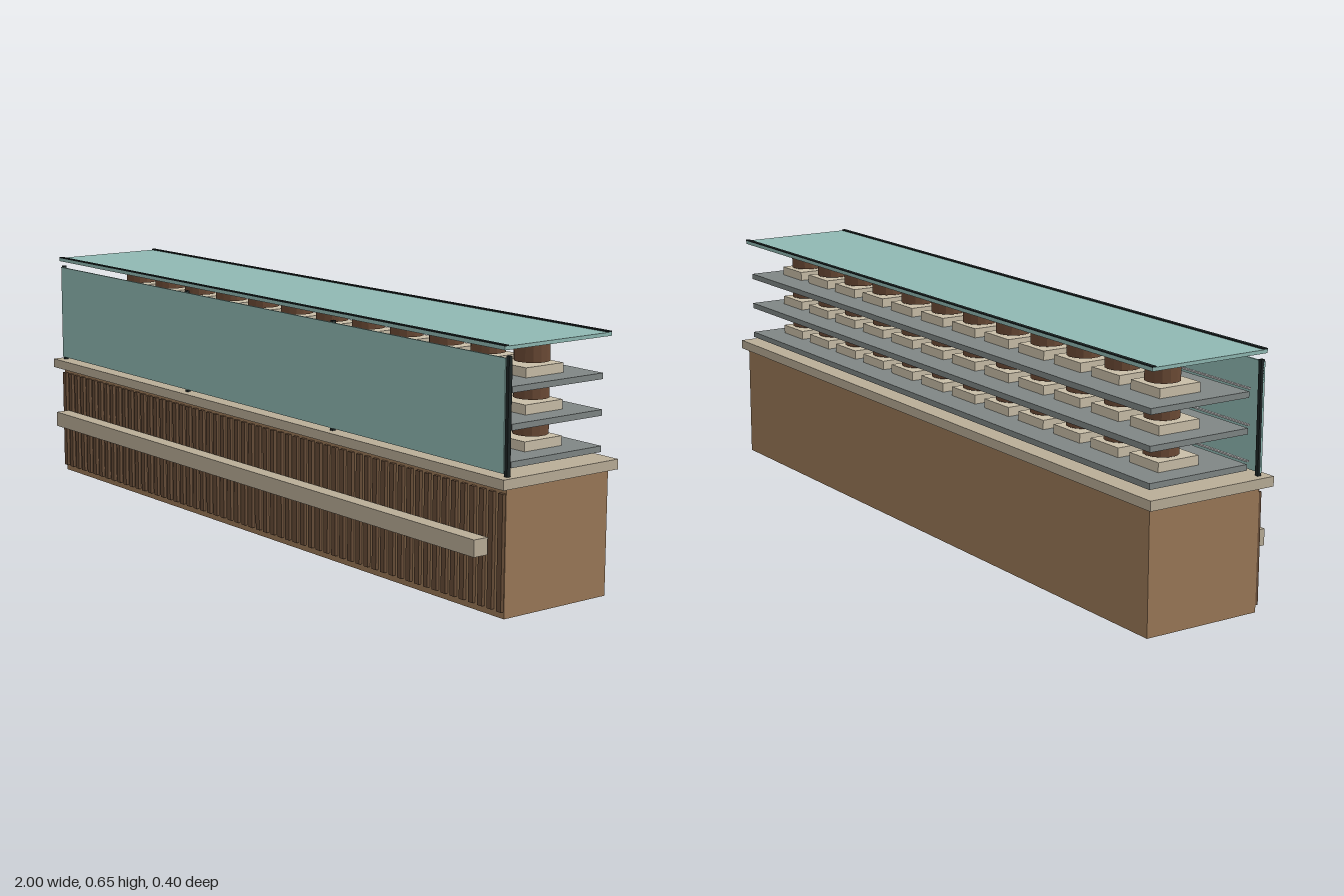
import * as THREE from 'three';

const mat = (color, flatShading = false) => new THREE.MeshStandardMaterial({ color, flatShading });
const wood = mat(0x9a7857), slatWood = mat(0x664c37), stone = mat(0xb9ad97), glass = mat(0x8fb8b2);
const black = mat(0x1c2424), metal = mat(0x7f8685), tan = mat(0xc9bea8), brown = mat(0x6b4a35, true);
const cream = mat(0xd8c890), pale = mat(0xcccccc);

// Box given by its extents on each axis
function box(parent, name, material, [x0, x1], [y0, y1], [z0, z1]) {
  const mesh = new THREE.Mesh(new THREE.BoxGeometry(x1 - x0, y1 - y0, z1 - z0), material);
  mesh.position.set((x0 + x1) / 2, (y0 + y1) / 2, (z0 + z1) / 2);
  mesh.name = name;
  parent.add(mesh);
  return mesh;
}

function disc(parent, name, material, radius, height, sides, x, y, z) {
  const mesh = new THREE.Mesh(new THREE.CylinderGeometry(radius, radius, height, sides), material);
  mesh.position.set(x, y + height / 2, z);
  mesh.name = name;
  parent.add(mesh);
  return mesh;
}

// Wooden counter with slatted front, worktop and tray rail
function counter() {
  const g = new THREE.Group();
  g.name = 'counter';
  box(g, 'cabinet', wood, [-0.98, 0.98], [0, 0.31], [-0.184, 0.143]);
  box(g, 'worktop', stone, [-1, 1], [0.315, 0.34], [-0.197, 0.17]);
  box(g, 'frontRail', stone, [-0.94, 0.935], [0.148, 0.19], [0.157, 0.199]);
  const count = 60;
  for (let i = 0; i < count; i++) {
    const x = -0.97 + (1.94 * i) / (count - 1);
    box(g, 'slat', slatWood, [x - 0.008, x + 0.008], [0.017, 0.3], [0.143, 0.152]);
  }
  return g;
}

// Front and top panes with dark posts and edge trims
function glassCase() {
  const g = new THREE.Group();
  g.name = 'glassCase';
  box(g, 'frontPane', glass, [-0.98, 0.975], [0.347, 0.617], [0.144, 0.149]);
  for (let i = 0; i < 4; i++) {
    const x = -0.975 + i * 0.652;
    box(g, 'post', black, [x - 0.005, x + 0.005], [0.34, 0.622], [0.137, 0.147]);
  }
  box(g, 'topPane', glass, [-0.98, 0.98], [0.636, 0.645], [-0.184, 0.155]);
  for (const z of [-0.184, 0.144])
    box(g, 'topTrim', black, [-0.98, 0.98], [0.645, 0.648], [z, z + 0.011]);
  return g;
}

// One shelf with its front strip and a row of cakes on trays
function shelf(y) {
  const g = new THREE.Group();
  g.name = 'shelf';
  box(g, 'shelfBoard', metal, [-0.965, 0.965], [y, y + 0.015], [-0.174, 0.116]);
  box(g, 'frontStrip', pale, [-0.95, 0.95], [y + 0.015, y + 0.019], [0.127, 0.134]);
  for (let i = 0; i < 12; i++) {
    const x = -0.85 + i * 0.1545;
    box(g, 'tray', tan, [x - 0.055, x + 0.055], [y + 0.015, y + 0.039], [-0.102, 0.018]);
    disc(g, 'cake', brown, 0.044, 0.046, 14, x, y + 0.043, -0.051);
    disc(g, 'topping', cream, 0.019, 0.005, 12, x - 0.015, y + 0.088, -0.066);
  }
  return g;
}

export function createModel() {
  const model = new THREE.Group();
  model.name = 'displayCounter';
  model.add(counter(), glassCase());
  for (let i = 0; i < 3; i++) model.add(shelf(0.354 + i * 0.0885));
  return model;
}
